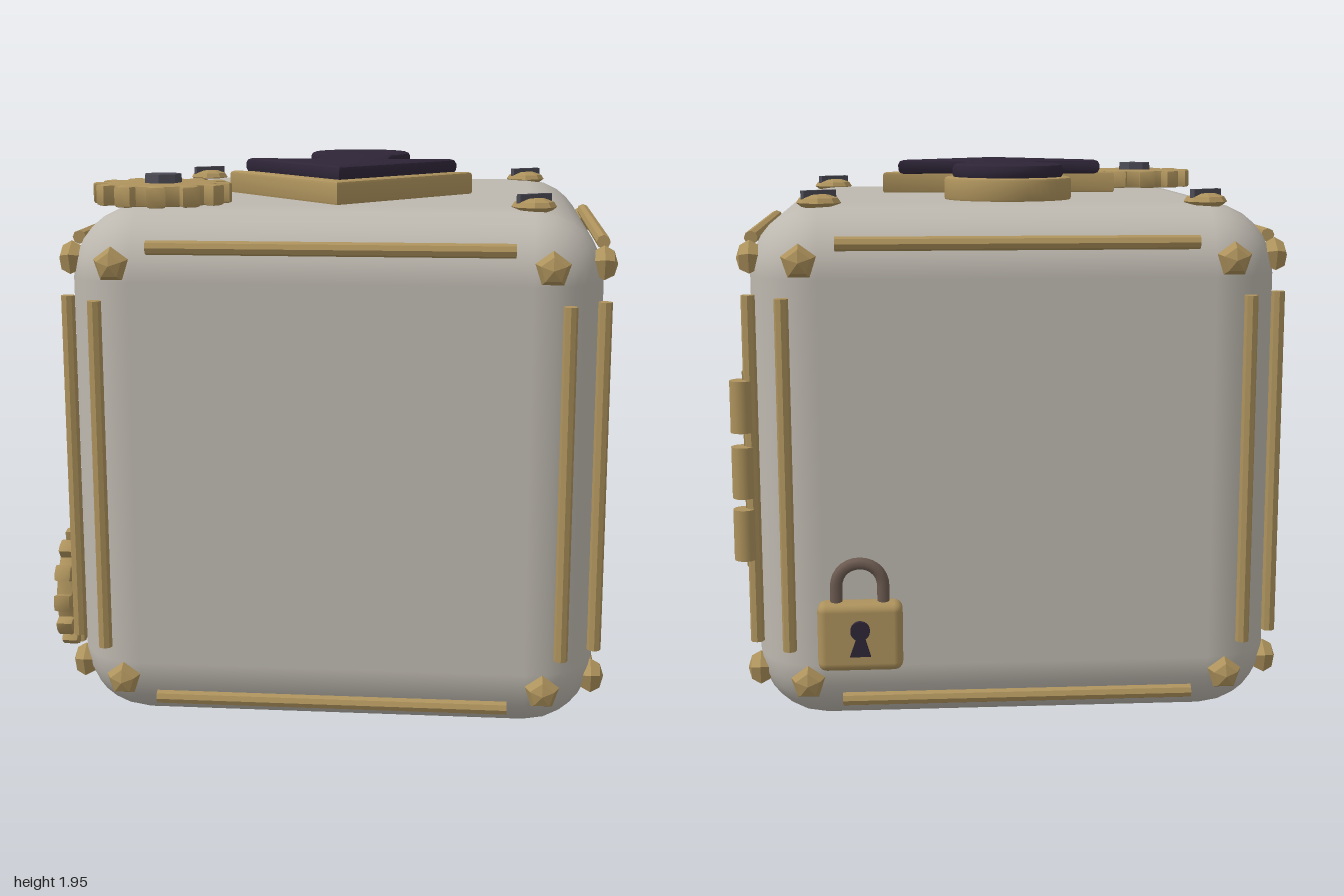
import * as THREE from 'three';
import { RoundedBoxGeometry } from 'three/addons/geometries/RoundedBoxGeometry.js';
import { toCreasedNormals } from 'three/addons/utils/BufferGeometryUtils.js';

const paint = (color, flatShading = false) => new THREE.MeshStandardMaterial({ color, flatShading });
const stone = paint(0xbdb8af);
const brass = paint(0xad925c);
const brassFlat = paint(0xad925c, true);
const dark = paint(0x2e2537);
const slate = paint(0x4c4b55, true);
const iron = paint(0x6b5a50);

const CX = 0.02, CY = 0.91, CZ = 0.035, HALF = 0.91;

function add(parent, name, geometry, material, x = 0, y = 0, z = 0) {
  const mesh = new THREE.Mesh(geometry, material);
  mesh.name = name;
  mesh.position.set(x, y, z);
  parent.add(mesh);
  return mesh;
}

function extrude(shape, depth, bevel = 0) {
  const geometry = new THREE.ExtrudeGeometry(shape, {
    depth: depth - 2 * bevel, curveSegments: 18, bevelEnabled: bevel > 0,
    bevelSize: bevel, bevelOffset: -bevel, bevelThickness: bevel, bevelSegments: 2,
  });
  geometry.translate(0, 0, bevel);
  return toCreasedNormals(geometry, 0.6);
}

// Round-tailed arrow; its point lies along -y of the shape
function arrowShape(radius, stem, wing, wingY, tipY) {
  const a = Math.acos(stem / radius);
  const shape = new THREE.Shape();
  shape.moveTo(0, tipY);
  shape.lineTo(wing, wingY);
  shape.lineTo(stem, wingY);
  shape.absarc(0, 0.35, radius, -a, Math.PI + a, false);
  shape.lineTo(-stem, wingY);
  shape.lineTo(-wing, wingY);
  shape.closePath();
  return shape;
}

// Toothed wheel with splayed teeth
function gearShape(tip, root, teeth) {
  const points = [];
  const step = (Math.PI * 2) / teeth;
  for (let i = 0; i < teeth; i++) {
    for (const [t, r] of [[-0.24, root], [-0.26, tip * 0.98], [0, tip], [0.26, tip * 0.98], [0.24, root], [0.5, root * 0.98]]) {
      const a = (i + t) * step;
      points.push(new THREE.Vector2(r * Math.cos(a), r * Math.sin(a)));
    }
  }
  return new THREE.Shape(points);
}

// Edge rods and corner rivets of one side, facing +z
function sideTrim() {
  const side = new THREE.Group();
  const rod = new THREE.CylinderGeometry(0.024, 0.024, 1.22, 8);
  const rivet = new THREE.SphereGeometry(0.062, 5, 4);
  rivet.rotateX(Math.PI / 2);
  rivet.rotateZ(-Math.PI / 2);
  rivet.scale(1, 1, 0.75);
  for (const s of [-1, 1]) {
    add(side, 'verticalRod', rod, brassFlat, s * 0.79, 0, HALF);
    add(side, 'horizontalRod', rod, brassFlat, 0, s * 0.79, HALF).rotation.z = Math.PI / 2;
    for (const t of [-1, 1]) add(side, 'rivet', rivet, brassFlat, s * 0.73, t * 0.73, HALF - 0.005);
  }
  return side;
}

// Domed screw with a raised diagonal slot bar
function screw(x, z) {
  const group = new THREE.Group();
  group.name = 'screw';
  const profile = [[0.045, -0.02], [0.077, 0.005], [0.066, 0.022], [0.035, 0.033], [0, 0.035]];
  add(group, 'screwHead', new THREE.LatheGeometry(profile.map(p => new THREE.Vector2(...p)), 8), brassFlat);
  add(group, 'screwSlot', new THREE.BoxGeometry(0.13, 0.03, 0.022), slate, 0, 0.033, 0).rotation.y = 0.6;
  group.position.set(x, 1.818, z);
  return group;
}

// Padlock facing +z, origin at the body's centre
function padlock() {
  const lock = new THREE.Group();
  lock.name = 'padlock';
  add(lock, 'lockBody', new RoundedBoxGeometry(0.29, 0.24, 0.09, 2, 0.03), brass);
  const path = new THREE.CurvePath();
  const v = (x, y) => new THREE.Vector3(x, y, 0);
  path.add(new THREE.LineCurve3(v(-0.08, 0.08), v(-0.08, 0.17)));
  path.add(new THREE.CubicBezierCurve3(v(-0.08, 0.17), v(-0.08, 0.28), v(0.08, 0.28), v(0.08, 0.17)));
  path.add(new THREE.LineCurve3(v(0.08, 0.17), v(0.08, 0.08)));
  add(lock, 'shackle', new THREE.TubeGeometry(path, 24, 0.021, 8), iron);
  const hole = new THREE.Shape();
  hole.moveTo(-0.035, -0.06);
  hole.lineTo(0.035, -0.06);
  hole.lineTo(0.014, 0.01);
  hole.absarc(0, 0.03, 0.033, -1.13, Math.PI + 1.13, false);
  hole.closePath();
  add(lock, 'keyhole', extrude(hole, 0.03), dark, 0, 0, 0.03);
  return lock;
}

export function createModel() {
  const model = new THREE.Group();
  model.name = 'puzzleCube';

  // Body
  add(model, 'body', new RoundedBoxGeometry(HALF * 2, HALF * 2, HALF * 2, 3, 0.24), stone, CX, CY, CZ);

  // Trim on the four upright sides
  ['front', 'left', 'back', 'right'].forEach((name, i) => {
    const side = sideTrim();
    side.name = name + 'Trim';
    side.position.set(CX, CY, CZ);
    side.rotation.y = (i * Math.PI) / 2;
    model.add(side);
  });

  // Arrow on the top
  const base = extrude(arrowShape(0.23, 0.16, 0.455, -0.13, -0.67), 0.085, 0.012);
  add(model, 'arrowBase', base, brass, CX, 1.815, 0).rotation.x = -Math.PI / 2;
  const inlay = extrude(arrowShape(0.2, 0.14, 0.395, -0.12, -0.59), 0.055, 0.018);
  add(model, 'arrowInlay', inlay, dark, CX, 1.892, 0).rotation.x = -Math.PI / 2;

  // Screws on three top corners
  for (const [x, z] of [[-0.65, -0.64], [0.69, -0.64], [0.69, 0.7]]) model.add(screw(x, z));

  // Top gear with its hub
  add(model, 'topGear', extrude(gearShape(0.24, 0.19, 12), 0.07, 0.008), brass, -0.59, 1.822, 0.64).rotation.set(-Math.PI / 2, 0, 0.1);
  add(model, 'gearHub', new THREE.CylinderGeometry(0.065, 0.075, 0.12, 7), slate, -0.59, 1.862, 0.64);

  // Gear on the right side
  add(model, 'sideGear', extrude(gearShape(0.22, 0.175, 12), 0.06, 0.008), brass, -0.94, 0.39, 0.56).rotation.y = -Math.PI / 2;
  add(model, 'sideGearAxle', new THREE.CylinderGeometry(0.05, 0.05, 0.08, 8), slate, -0.91, 0.39, 0.56).rotation.z = Math.PI / 2;

  // Hinge on the left side
  const hinge = new THREE.Group();
  hinge.name = 'hinge';
  add(hinge, 'hingePlate', new THREE.BoxGeometry(0.04, 0.69, 0.14), brass, 0.937, 0.915, -0.69);
  for (const y of [0.69, 0.91, 1.14]) {
    add(hinge, 'hingeKnuckle', new THREE.CylinderGeometry(0.039, 0.039, 0.18, 12), brass, 0.961, y, -0.765);
  }
  model.add(hinge);

  // Padlock on the back
  const lock = padlock();
  lock.position.set(0.565, 0.37, -0.927);
  lock.rotation.y = Math.PI;
  model.add(lock);

  return model;
}
